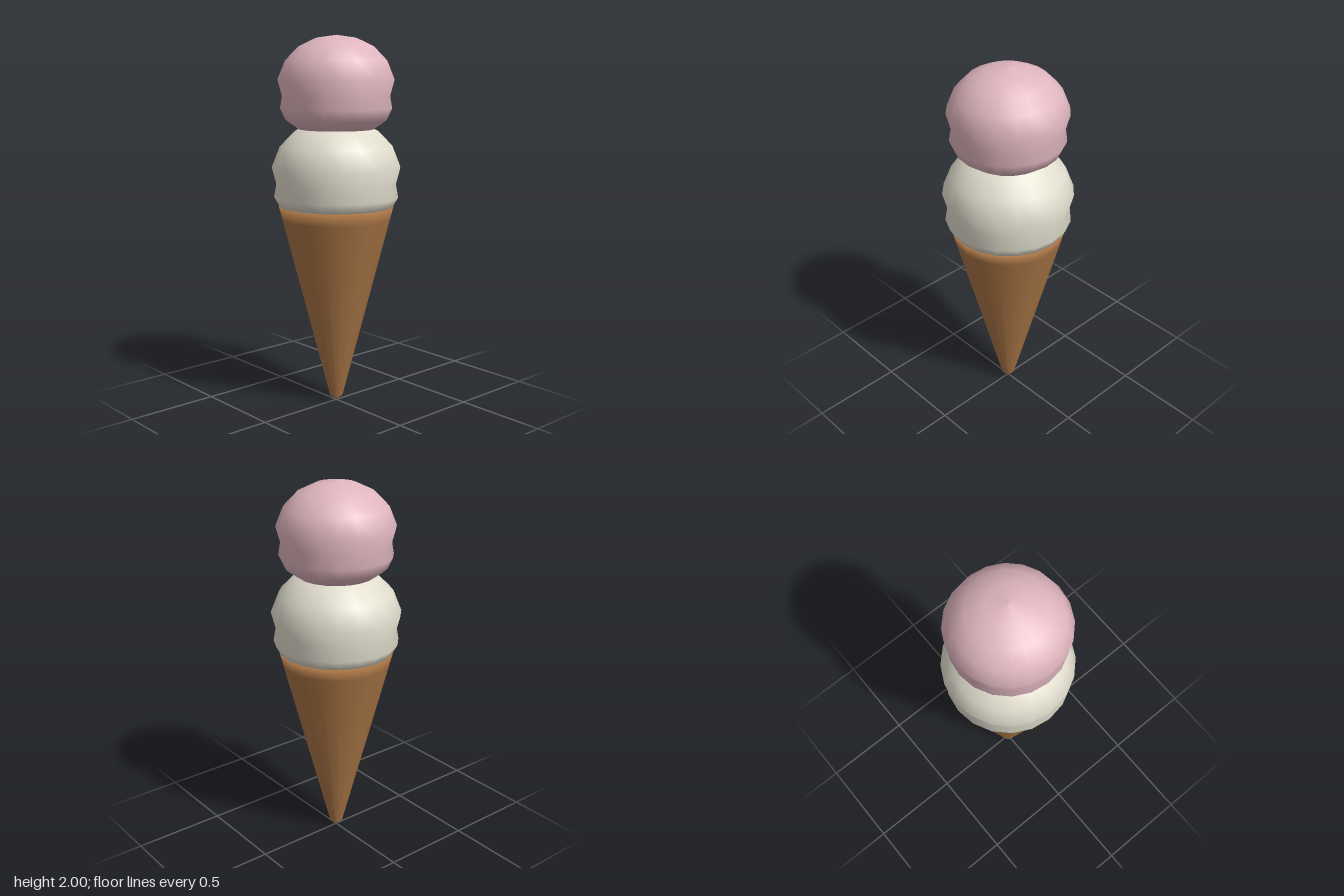
import * as THREE from 'three';

const SIDES = 20;

// Turned part from [radius, height] points, listed bottom to top
function turned(name, profile, material) {
  const points = profile.map(([r, y]) => new THREE.Vector2(r, y));
  const mesh = new THREE.Mesh(new THREE.LatheGeometry(points, SIDES), material);
  mesh.name = name;
  return mesh;
}

export function createModel() {
  const wafer = new THREE.MeshStandardMaterial({ color: 0xa97545 });
  wafer.name = 'wafer';
  const vanilla = new THREE.MeshStandardMaterial({ color: 0xe0dccd });
  vanilla.name = 'vanilla';
  const strawberry = new THREE.MeshStandardMaterial({ color: 0xdfb5be });
  strawberry.name = 'strawberry';

  const group = new THREE.Group();
  group.name = 'iceCreamCone';

  // Cone with a blunt tip and a closed top
  group.add(turned('cone', [
    [0, 0], [0.036, 0.033], [0.292, 1.03], [0.31, 1.1], [0, 1.105],
  ], wafer));

  // Lower scoop, with a soft lip around its base
  group.add(turned('lowerScoop', [
    [0, 1.11], [0.305, 1.098], [0.334, 1.15], [0.322, 1.22], [0.345, 1.31],
    [0.301, 1.42], [0.222, 1.5], [0.118, 1.55], [0, 1.567],
  ], vanilla));

  // Upper scoop, slightly smaller
  group.add(turned('upperScoop', [
    [0, 1.515], [0.2, 1.51], [0.27, 1.56], [0.298, 1.62], [0.287, 1.685], [0.31, 1.77],
    [0.27, 1.868], [0.2, 1.94], [0.106, 1.985], [0, 2],
  ], strawberry));

  return group;
}
